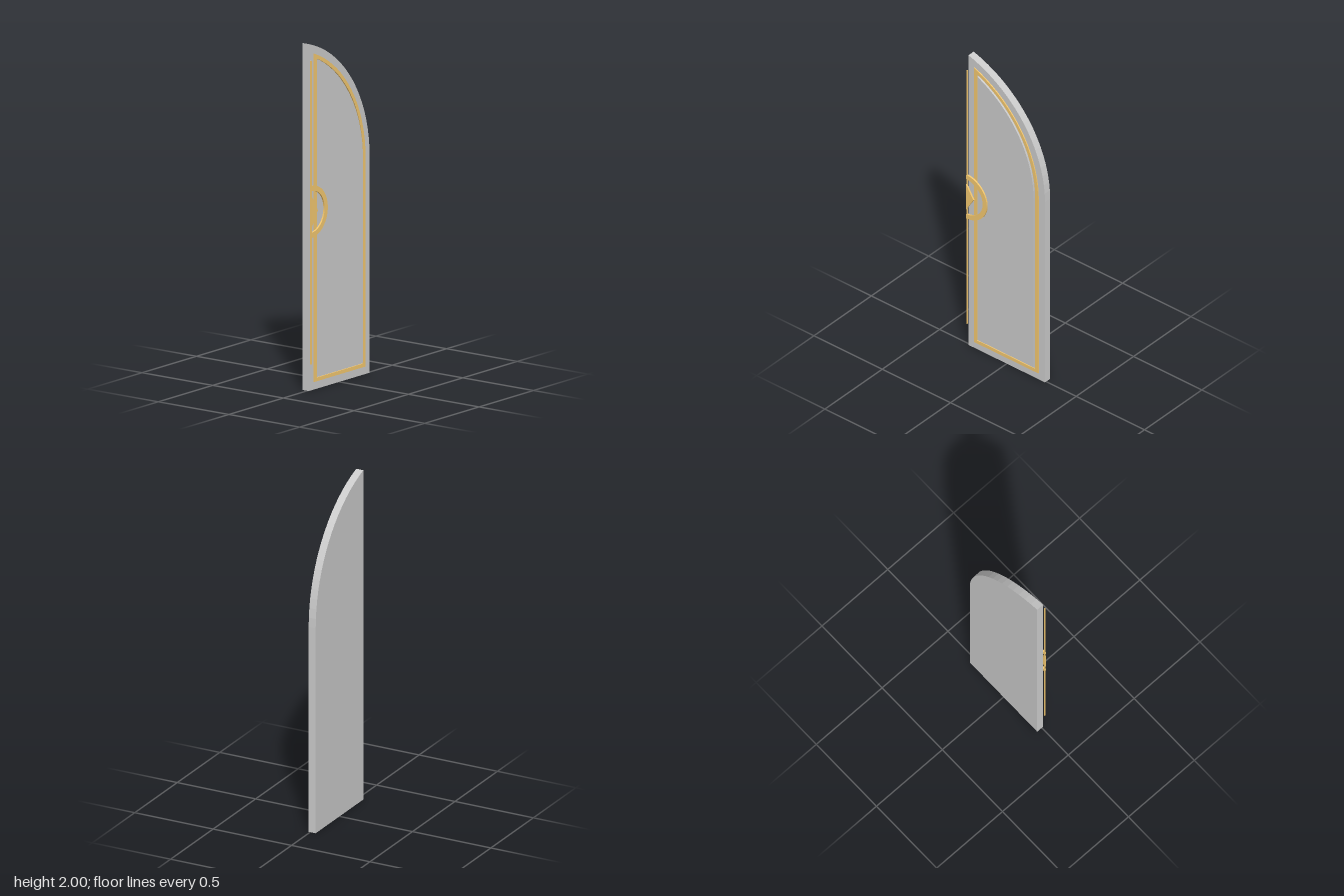
import * as THREE from 'three';

const HALF = 0.28, SPRING = 1.245, RISE = 2 - SPRING;
// circle that starts vertical at the outer edge and ends at the peak
const ARC_X = -(RISE * RISE) / (4 * HALF), ARC_R = HALF - ARC_X;

const grey = new THREE.MeshStandardMaterial({ color: 0xcccccc, flatShading: true });
const gold = new THREE.MeshStandardMaterial({ color: 0xf4c870, flatShading: true });

// outline of half a pointed arch, moved inward by d
function archPoints(d, segments = 18) {
  const r = ARC_R - d, left = -HALF + d;
  const end = Math.acos((left - ARC_X) / r);
  const pts = [new THREE.Vector2(left, d), new THREE.Vector2(HALF - d, d)];
  for (let i = 0; i <= segments; i++) {
    const a = (end * i) / segments;
    pts.push(new THREE.Vector2(ARC_X + r * Math.cos(a), SPRING + r * Math.sin(a)));
  }
  return pts;
}

export function createModel() {
  const group = new THREE.Group();

  const slab = (name, shape, z0, z1, material) => {
    const geo = new THREE.ExtrudeGeometry(shape, { depth: z1 - z0, bevelEnabled: false, curveSegments: 24 });
    geo.translate(0, 0, z0);
    const mesh = new THREE.Mesh(geo, material);
    mesh.name = name;
    group.add(mesh);
  };

  // door leaf and raised panel
  slab('doorLeaf', new THREE.Shape(archPoints(0)), -0.035, 0.01, grey);
  slab('panel', new THREE.Shape(archPoints(0.075)), 0.01, 0.021, grey);

  // gilded moulding around the panel
  const trim = new THREE.Shape(archPoints(0.045));
  trim.holes.push(new THREE.Path(archPoints(0.066)));
  slab('trim', trim, 0.01, 0.0165, gold);

  // half ring at the meeting edge
  const ring = new THREE.Shape();
  ring.absarc(-HALF, 1.035, 0.15, -Math.PI / 2, Math.PI / 2, false);
  ring.absarc(-HALF, 1.035, 0.12, Math.PI / 2, -Math.PI / 2, true);
  slab('halfRing', ring, 0.02, 0.03, gold);

  // half diamond inside the ring
  const diamond = new THREE.Shape([
    new THREE.Vector2(-HALF, 0.947),
    new THREE.Vector2(-0.225, 1.035),
    new THREE.Vector2(-HALF, 1.123),
  ]);
  slab('halfDiamond', diamond, 0.023, 0.033, gold);

  // slim strip along the meeting edge
  const strip = new THREE.Mesh(new THREE.BoxGeometry(0.004, 1.75, 0.008), gold);
  strip.name = 'edgeStrip';
  strip.position.set(-HALF + 0.002, 1.03, 0.025);
  group.add(strip);

  return group;
}
